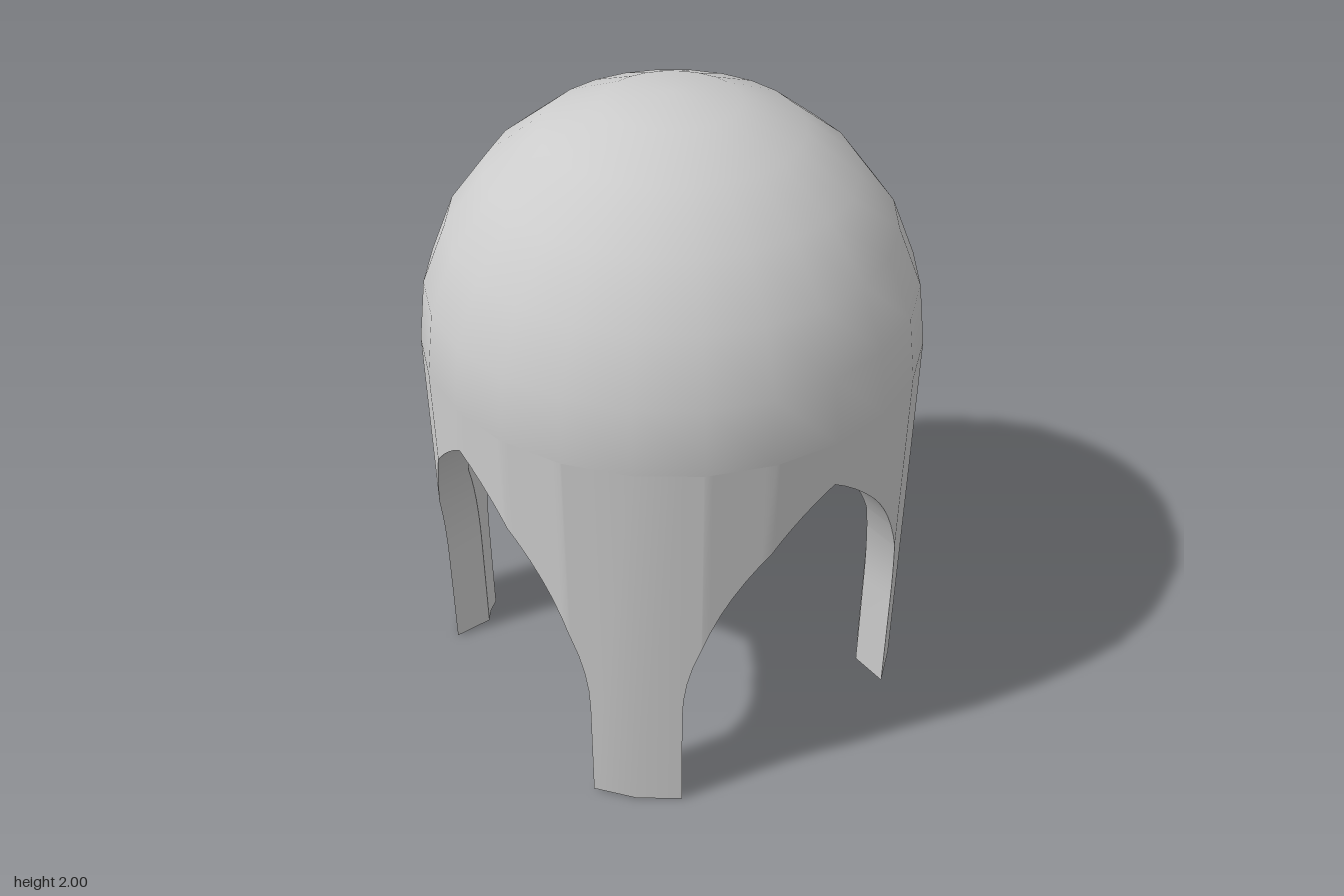
import * as THREE from 'three';
import { toCreasedNormals } from 'three/addons/utils/BufferGeometryUtils.js';

const OUTER = 0.74, INNER = 0.64, SPRING = 1.26; // wall radii, height where the dome starts
const HALF = 0.414, ARCH_Y = 0.36, APEX = 1.12;  // arch opening
const STEP = Math.PI / 12;                       // 24-sided plan

// Distance from the axis of a 24-sided wall at offset x along one side
function wallZ(radius, x) {
  const t = Math.abs(x) / radius;
  const i = Math.floor(Math.asin(t) / STEP + 1e-6);
  const s0 = Math.sin(i * STEP), s1 = Math.sin((i + 1) * STEP);
  const f = (t - s0) / (s1 - s0);
  return radius * THREE.MathUtils.lerp(Math.cos(i * STEP), Math.cos((i + 1) * STEP), f);
}

// Pointed arch made of two circular arcs
function archY(x) {
  const rise = APEX - ARCH_Y;
  const r = (HALF * HALF + rise * rise) / (2 * HALF);
  const d = Math.abs(x) + r - HALF;
  return ARCH_Y + Math.sqrt(Math.max(0, r * r - d * d));
}

// Stations around the wall: outer and inner plan points and the underside height
function makeStations() {
  const half = [];
  for (let k = 0; k <= 14; k++) half.push(HALF * Math.sin((k / 14) * Math.PI / 2));
  for (const r of [OUTER, INNER]) for (const i of [1, 2]) half.push(r * Math.sin(i * STEP));
  half.sort((a, b) => a - b);
  const xs = [...half.slice(1).reverse().map((x) => -x), ...half];

  const arch = xs.map((x) => ({ o: [x, wallZ(OUTER, x)], i: [x, wallZ(INNER, x)], y: archY(x) }));
  const end = arch[arch.length - 1];
  const flip = ([x, z]) => [z, x];
  const o45 = OUTER * Math.SQRT1_2, i45 = INNER * Math.SQRT1_2;
  const leg = [
    { ...end, y: 0 },
    { o: [o45, o45], i: [i45, i45], y: 0 },
    { o: flip(end.o), i: flip(end.i), y: 0 },
  ];

  const stations = [];
  let turn = (p) => p;
  for (let q = 0; q < 4; q++) {
    const t = turn;
    for (const s of [...arch, ...leg]) stations.push({ o: t(s.o), i: t(s.i), y: s.y });
    turn = (p) => { const [x, z] = t(p); return [z, -x]; };
  }
  return stations;
}

// Cylinder wall with four arches, running down into four legs
function wallGeometry() {
  const pos = [];
  const tri = (a, b, c) => {
    const area = new THREE.Triangle(a, b, c).getArea();
    if (area > 1e-8) for (const v of [a, b, c]) pos.push(v.x, v.y, v.z);
  };
  const quad = (a, b, c, d) => { tri(a, b, c); tri(a, c, d); };
  const at = ([x, z], y) => new THREE.Vector3(x, y, z);
  const st = makeStations();
  st.forEach((a, k) => {
    const b = st[(k + 1) % st.length];
    quad(at(a.o, a.y), at(b.o, b.y), at(b.o, SPRING), at(a.o, SPRING)); // outside
    quad(at(b.i, b.y), at(a.i, a.y), at(a.i, SPRING), at(b.i, SPRING)); // inside
    quad(at(a.o, a.y), at(a.i, a.y), at(b.i, b.y), at(b.o, b.y));       // arch underside, leg sides, feet
  });
  const g = new THREE.BufferGeometry();
  g.setAttribute('position', new THREE.Float32BufferAttribute(pos, 3));
  return toCreasedNormals(g, 0.5);
}

export function createModel() {
  const group = new THREE.Group();
  group.name = 'domedPavilion';
  const add = (name, geometry, side = THREE.FrontSide) => {
    const mesh = new THREE.Mesh(geometry, new THREE.MeshStandardMaterial({ color: 0xcccccc, side }));
    mesh.name = name;
    group.add(mesh);
    return mesh;
  };

  add('archedWall', wallGeometry());

  // Outer and inner shells of the dome
  const shell = (r) => new THREE.SphereGeometry(r, 24, 6, 0, Math.PI * 2, 0, Math.PI / 2);
  add('domeOutside', shell(OUTER)).position.y = SPRING;
  add('domeInside', shell(INNER), THREE.BackSide).position.y = SPRING;

  return group;
}
